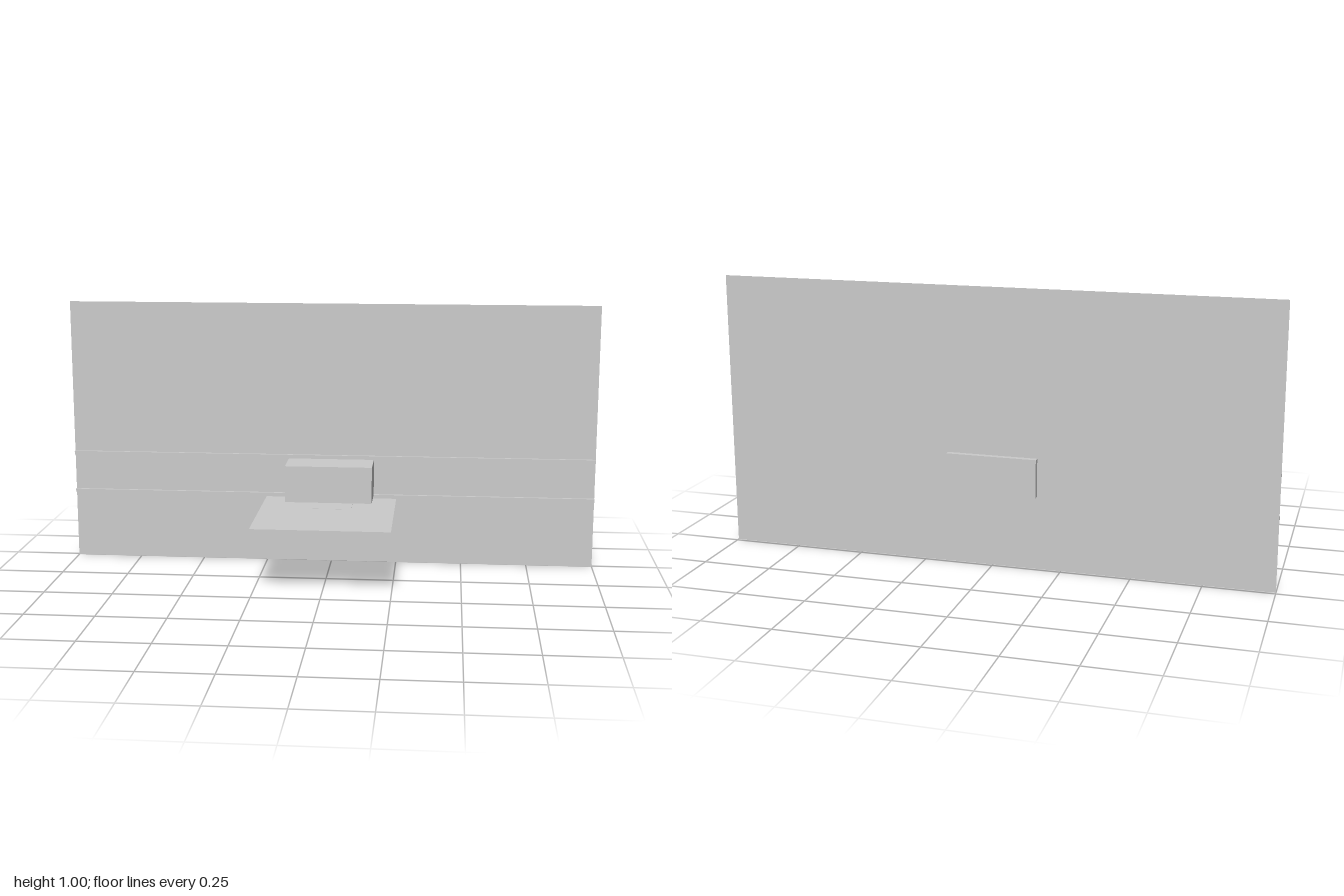
import * as THREE from 'three';

export function createModel() {
  const model = new THREE.Group();
  const solid = new THREE.MeshStandardMaterial({ color: 0xcccccc });
  const sheet = new THREE.MeshStandardMaterial({ color: 0xcccccc, side: THREE.DoubleSide });
  const wallZ = -0.24;

  function add(name, geometry, material, x, y, z) {
    const mesh = new THREE.Mesh(geometry, material);
    mesh.name = name;
    mesh.position.set(x, y, z);
    model.add(mesh);
    return mesh;
  }

  // Thin upright wall sheet
  add('wallPanel', new THREE.PlaneGeometry(2, 1), sheet, 0, 0.5, wallZ);

  // Thin square shelf reaching forward from the wall
  add('shelf', new THREE.PlaneGeometry(0.5, 0.5).rotateX(-Math.PI / 2), sheet, 0, 0.255, 0.01);

  // Small plate let into the shelf under the block
  add('shelfPlate', new THREE.BoxGeometry(0.18, 0.002, 0.123), solid, 0, 0.2545, -0.109);

  // Block passing through the wall
  add('block', new THREE.BoxGeometry(0.326, 0.138, 0.167), solid, 0, 0.336, -0.1765);

  // Rails along the wall, above and below the block
  for (const [name, y] of [['lowerRail', 0.262], ['upperRail', 0.413]]) {
    add(name, new THREE.BoxGeometry(2, 0.014, 0.011), solid, 0, y, wallZ + 0.0065);
  }

  return model;
}
